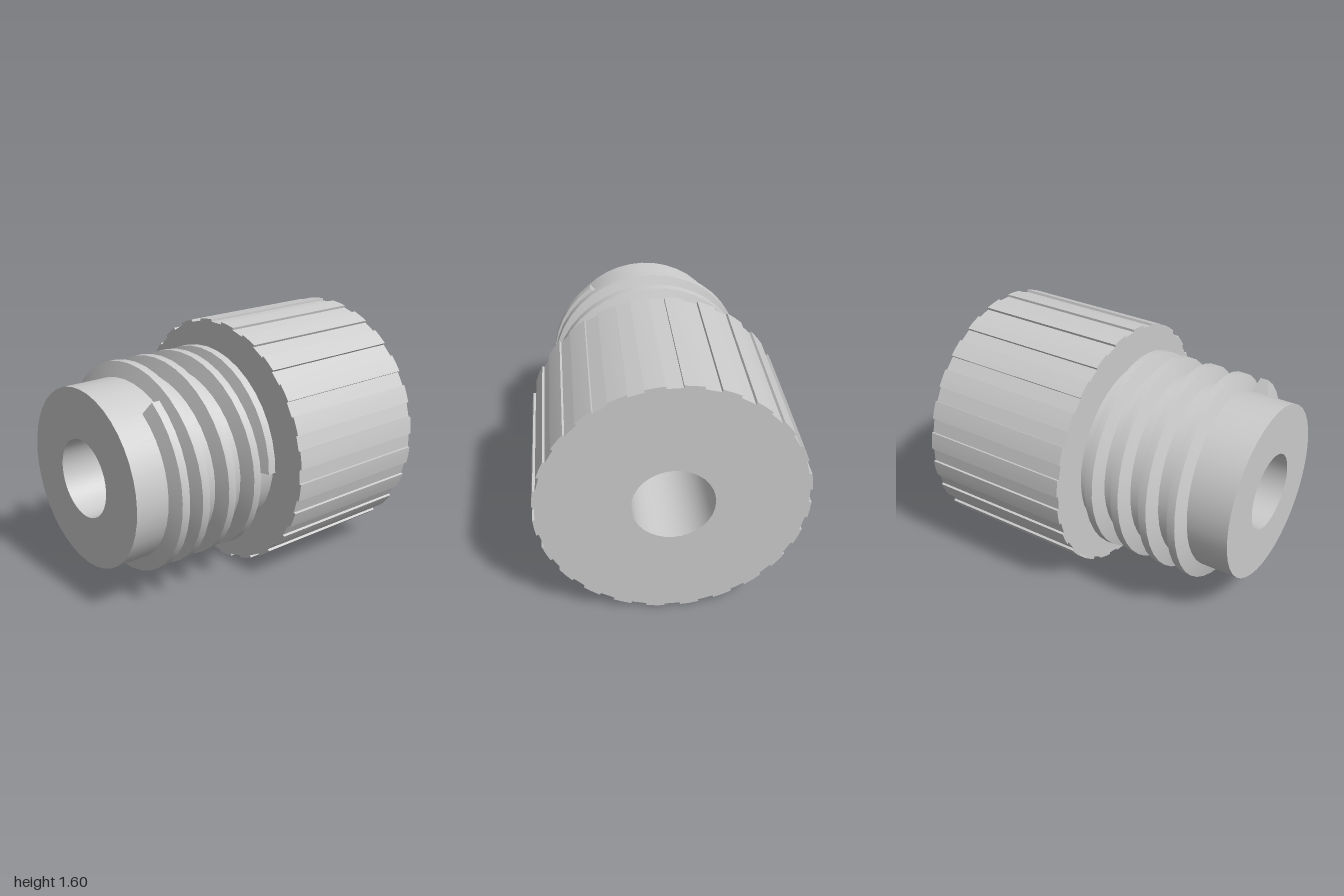
import * as THREE from 'three';
import { toCreasedNormals } from 'three/addons/utils/BufferGeometryUtils.js';

const HOLE = 0.243, SHAFT = 0.555, CREST = 0.648, CAP = 0.802, GROOVE = 0.787;
const rad = THREE.MathUtils.degToRad;

// Gripping knob outline: 24 shallow grooves, the first one centred on +x
function knobGeometry() {
  const shape = new THREE.Shape();
  for (let i = 0; i < 24; i++) {
    const corners = [[-3.4, GROOVE], [3.4, GROOVE], [3.4, CAP], [7.5, CAP], [11.6, CAP]];
    corners.forEach(([deg, r], j) => {
      const a = rad(i * 15 + deg);
      shape[i + j ? 'lineTo' : 'moveTo'](r * Math.cos(a), r * Math.sin(a));
    });
  }
  shape.closePath();
  shape.holes.push(new THREE.Path().absarc(0, 0, HOLE, 0, Math.PI * 2, true));
  const g = new THREE.ExtrudeGeometry(shape, { depth: 0.99, bevelEnabled: false, curveSegments: 16 });
  g.translate(0, 0, -1);
  return toCreasedNormals(g, 0.5);
}

// Hollow shaft, open where it meets the knob
function shaftGeometry() {
  const profile = [[SHAFT, -0.01], [SHAFT, 1], [HOLE, 1], [HOLE, -0.01]];
  const g = new THREE.LatheGeometry(profile.map(([r, y]) => new THREE.Vector2(r, y)), 40);
  g.rotateX(Math.PI / 2);
  return toCreasedNormals(g, 0.5);
}

// Height of the thread along z: even pitch, levelling out at both ends
const PITCH_KEYS = [
  [0, 0.085], [90, 0.09], [180, 0.11], [270, 0.152], [360, 0.2],
  [1260, 0.683], [1350, 0.717], [1440, 0.73], [1494, 0.735],
];
function threadZ(deg) {
  let k = 1;
  while (k < PITCH_KEYS.length - 1 && deg > PITCH_KEYS[k][0]) k++;
  const [a, za] = PITCH_KEYS[k - 1], [b, zb] = PITCH_KEYS[k];
  return za + (zb - za) * (deg - a) / (b - a);
}

// Trapezoid section swept along the helix, closed at both ends
function threadGeometry() {
  const section = [[0.54, -0.06], [CREST, -0.026], [CREST, 0.026], [0.54, 0.06]];
  const steps = 166, pos = [], index = [];
  for (let i = 0; i <= steps; i++) {
    const deg = 1494 * i / steps, a = rad(deg), z = threadZ(deg);
    for (const [r, dz] of section) pos.push(r * Math.cos(a), r * Math.sin(a), z + dz);
    if (i === steps) break;
    for (let j = 0; j < 3; j++) {
      const p = i * 4 + j, q = p + 4;
      index.push(p, q, q + 1, p, q + 1, p + 1);
    }
  }
  const e = steps * 4;
  index.push(0, 1, 2, 0, 2, 3, e, e + 2, e + 1, e, e + 3, e + 2);
  const g = new THREE.BufferGeometry();
  g.setAttribute('position', new THREE.Float32BufferAttribute(pos, 3));
  g.setIndex(index);
  return toCreasedNormals(g, 0.5);
}

export function createModel() {
  const group = new THREE.Group();
  const material = new THREE.MeshStandardMaterial({ color: 0xcccccc });
  const add = (name, geometry, y) => {
    const mesh = new THREE.Mesh(geometry, material);
    mesh.name = name;
    mesh.position.y = y;
    group.add(mesh);
  };
  add('knob', knobGeometry(), 0.802);
  add('shaft', shaftGeometry(), 0.803);
  add('screwThread', threadGeometry(), 0.803);
  return group;
}
